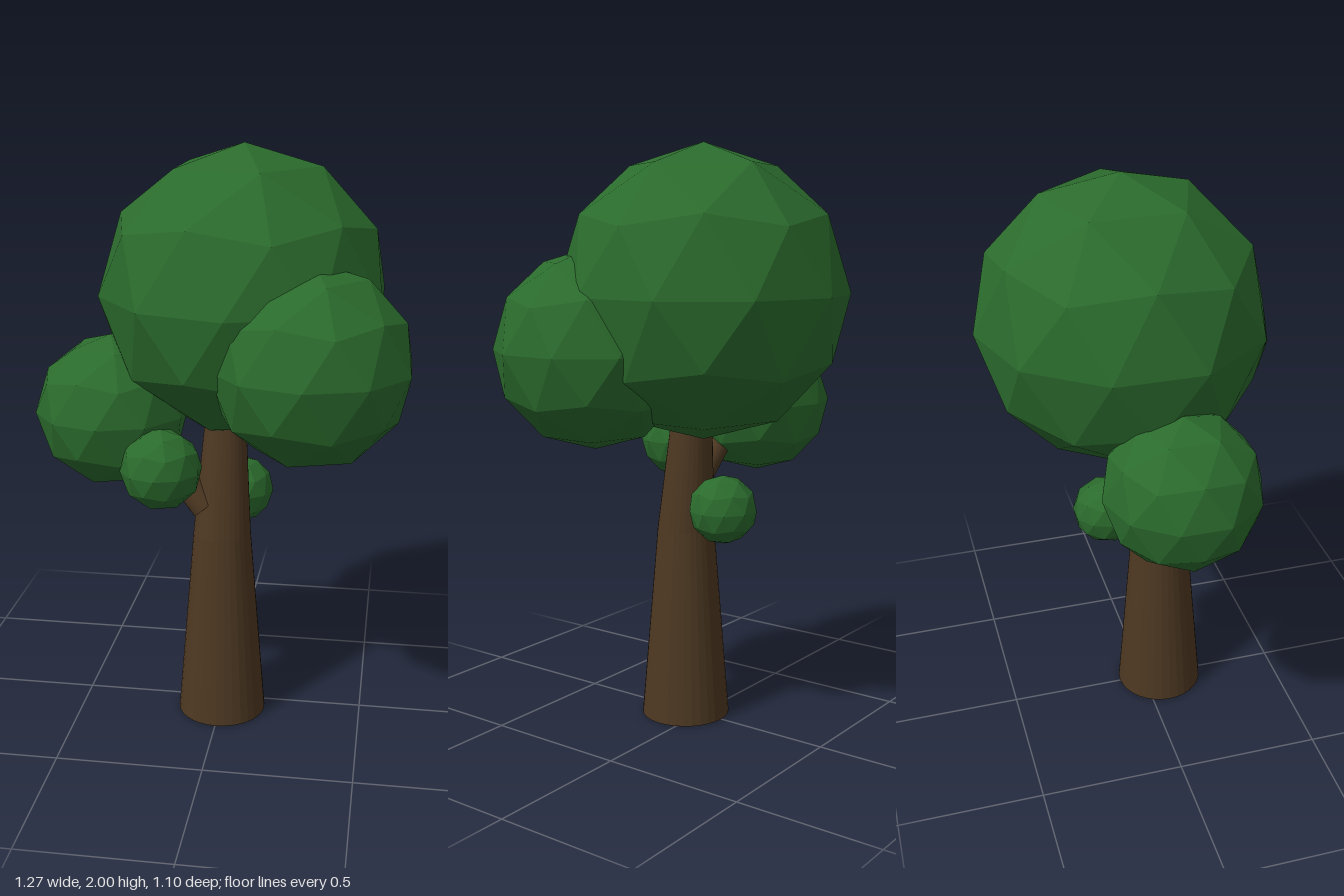
import * as THREE from 'three';

const leafMaterial = new THREE.MeshStandardMaterial({ color: 0x2b6b2d, flatShading: true });
const barkMaterial = new THREE.MeshStandardMaterial({ color: 0x4d3822, flatShading: true });

// Faceted ball of leaves, turned so that one corner points straight up
function foliage(name, radius, x, y, z, yaw = 0) {
  const geometry = new THREE.IcosahedronGeometry(radius, 1);
  geometry.rotateZ(-Math.atan(2 / (1 + Math.sqrt(5))));
  geometry.rotateY(yaw);
  const mesh = new THREE.Mesh(geometry, leafMaterial);
  mesh.name = name;
  mesh.position.set(x, y, z);
  return mesh;
}

// Capped limb whose rings follow a list of [x, y, z, radius]
function limb(name, rings, sides) {
  const last = rings.length - 1;
  const geometry = new THREE.CylinderGeometry(1, 1, last, sides, last);
  const p = geometry.attributes.position;
  for (let i = 0; i < p.count; i++) {
    const [x, y, z, r] = rings[Math.round(p.getY(i) + last / 2)];
    p.setXYZ(i, x + p.getX(i) * r, y, z + p.getZ(i) * r);
  }
  geometry.computeVertexNormals();
  const mesh = new THREE.Mesh(geometry, barkMaterial);
  mesh.name = name;
  return mesh;
}

// Straight tapered branch between two points
function branch(name, from, to, r0, r1) {
  const a = new THREE.Vector3(...from);
  const b = new THREE.Vector3(...to);
  const direction = b.clone().sub(a);
  const mesh = new THREE.Mesh(
    new THREE.CylinderGeometry(r1, r0, direction.length(), 24), barkMaterial);
  mesh.name = name;
  mesh.position.copy(a).lerp(b, 0.5);
  mesh.quaternion.setFromUnitVectors(new THREE.Vector3(0, 1, 0), direction.normalize());
  return mesh;
}

export function createModel() {
  const tree = new THREE.Group();
  tree.name = 'tree';

  // Trunk: straight at first, then leaning back into the crown
  tree.add(limb('trunk', [
    [0.003, 0, 0.063, 0.155],
    [0.003, 0.68, 0.06, 0.1],
    [0.01, 1.06, 0.03, 0.072],
    [0.02, 1.3, 0.005, 0.055],
  ], 32));
  tree.add(branch('sideBranch', [-0.05, 0.78, 0.09], [-0.33, 1.1, 0.04], 0.05, 0.035));

  // Foliage
  tree.add(foliage('crown', 0.492, 0.06, 1.509, -0.057));
  tree.add(foliage('frontFoliage', 0.336, 0.311, 1.327, 0.21));
  tree.add(foliage('sideFoliage', 0.265, -0.385, 1.1, 0.022));
  tree.add(foliage('smallFrontFoliage', 0.138, -0.178, 0.96, 0.226));
  tree.add(foliage('smallBackFoliage', 0.119, 0.042, 0.777, -0.126, Math.PI / 2));
  return tree;
}
